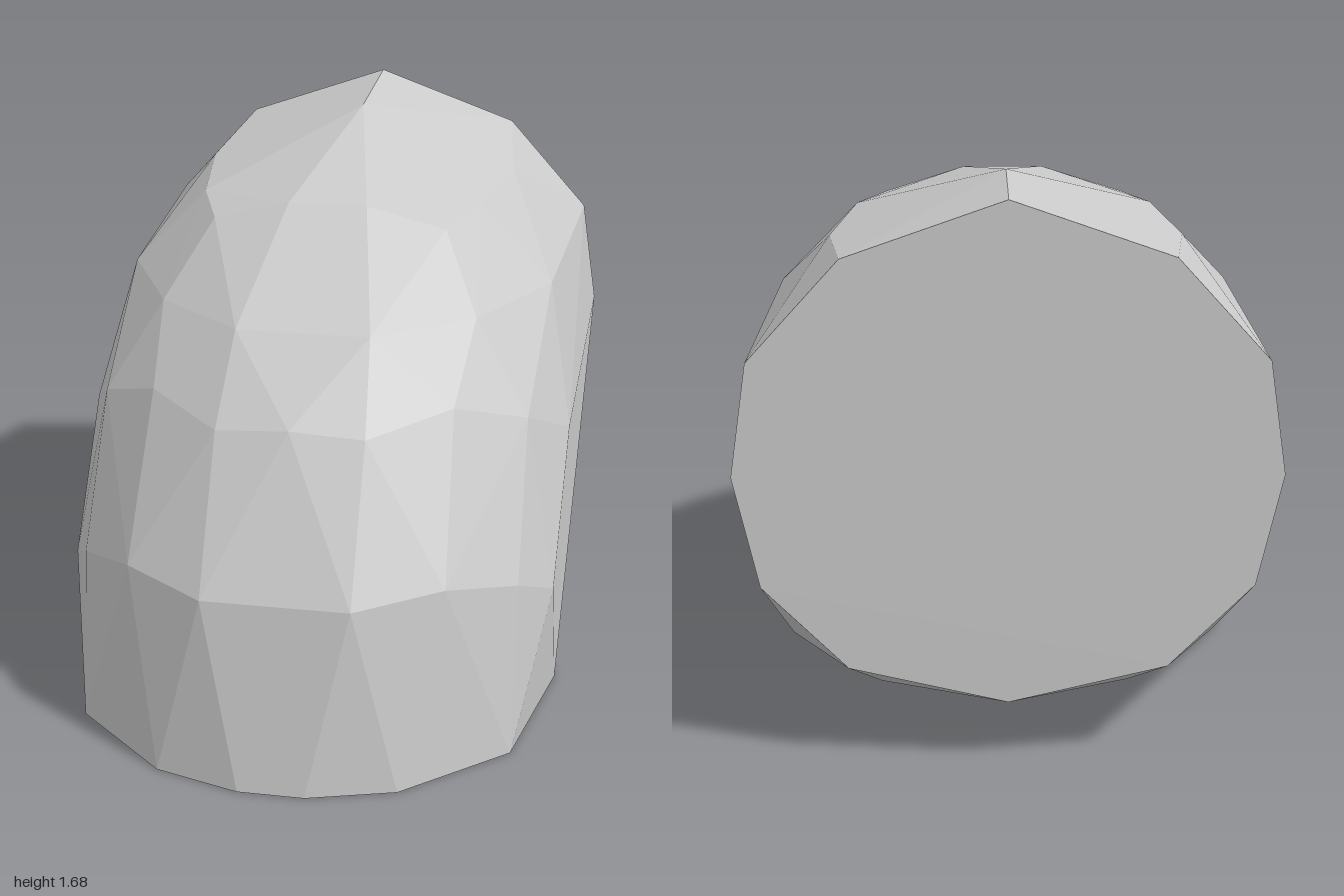
import * as THREE from 'three';
import { ConvexGeometry } from 'three/addons/geometries/ConvexGeometry.js';

// Cross-sections for the +x half, mirrored to -x
const floorRing = [ // z, x on y = 0
  [1, 0.1], [0.92, 0.36], [0.64, 0.66], [0.14, 0.75], [-0.1, 0.68], [-0.45, 0.38], [-0.55, 0],
].map(([z, x]) => [x, 0, z]);

const backRing = [ // x, y on z = -1
  [0, 1.68], [0.45, 1.52], [0.71, 1.23], [0.76, 0.9], [0.69, 0.57], [0.45, 0.32], [0, 0.21],
].map(([x, y]) => [x, y, -1]);

const bendRings = [
  // lower bend
  [[0.22, 0.57, 0.92], [0.47, 0.59, 0.77], [0.66, 0.52, 0.56], [0.75, 0.42, 0.36]],
  // middle bend
  [[0, 1.02, 0.7], [0.22, 1.0, 0.68], [0.45, 1.04, 0.49], [0.65, 0.95, 0.3], [0.757, 0.82, 0.03]],
  // upper bend
  [[0.2, 1.24, 0.48], [0.48, 1.23, 0.23], [0.67, 1.22, -0.17]],
  // crown
  [[0.12, 1.51, 0.07], [0.36, 1.44, 0.04], [0.44, 1.46, -0.18], [0.5, 1.47, -0.58], [0, 1.66, -0.58]],
];

export function createModel() {
  const points = [];
  for (const ring of [floorRing, ...bendRings, backRing]) {
    for (const [x, y, z] of ring) {
      points.push(new THREE.Vector3(x, y, z));
      if (x > 0) points.push(new THREE.Vector3(-x, y, z));
    }
  }

  // Faceted solid elbow with flat floor and back ends
  const elbow = new THREE.Mesh(
    new ConvexGeometry(points),
    new THREE.MeshStandardMaterial({ color: 0xcccccc, flatShading: true }),
  );
  elbow.name = 'elbow';

  const group = new THREE.Group();
  group.name = 'facetedElbow';
  group.add(elbow);
  return group;
}
